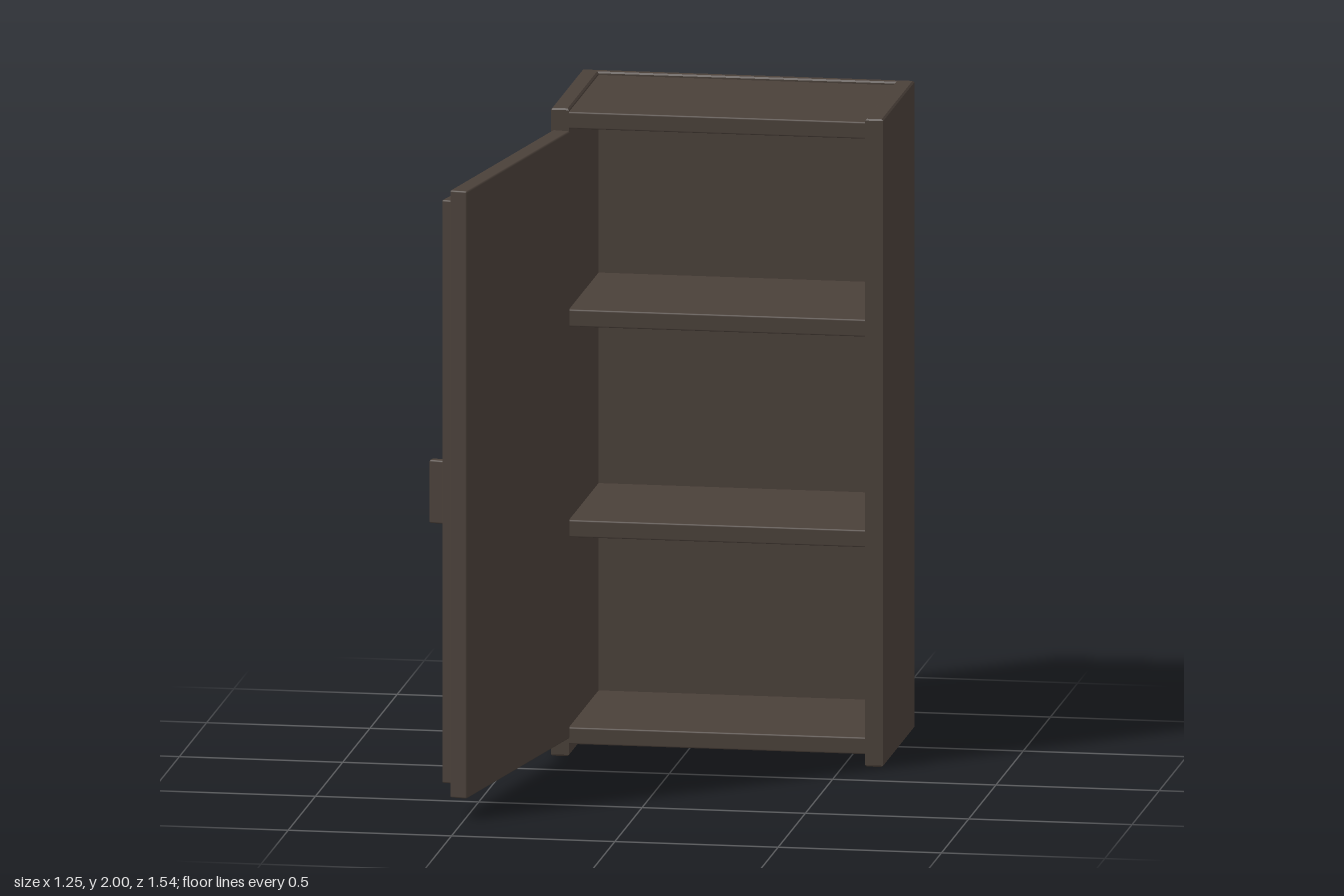
import * as THREE from 'three';
import { RoundedBoxGeometry } from 'three/addons/geometries/RoundedBoxGeometry.js';

export function createModel() {
  const model = new THREE.Group();
  model.name = 'cabinet';

  const wood = new THREE.MeshStandardMaterial({ color: 0x4a4039 });
  wood.name = 'darkWood';

  // Board with slightly eased edges
  function board(parent, name, size, position) {
    const mesh = new THREE.Mesh(new RoundedBoxGeometry(...size, 1, 0.005), wood);
    mesh.name = name;
    mesh.position.set(...position);
    parent.add(mesh);
    return mesh;
  }

  // Carcass: both sides and the back as one U-shaped extrusion
  const left = -0.395, right = 0.622, back = -0.77, front = -0.195;
  const side = 0.055, backThickness = 0.03, bevel = 0.005;
  const outline = [
    [left, front], [left, back], [right, back], [right, front],
    [right - side, front], [right - side, back + backThickness],
    [left + side, back + backThickness], [left + side, front],
  ].map(([x, z]) => new THREE.Vector2(x, -z));
  const shell = new THREE.ExtrudeGeometry(new THREE.Shape(outline), {
    depth: 2 - 2 * bevel, bevelEnabled: true, bevelThickness: bevel,
    bevelSize: bevel, bevelOffset: -bevel, bevelSegments: 1,
  });
  shell.rotateX(-Math.PI / 2);
  shell.translate(0, bevel, 0);
  const carcass = new THREE.Mesh(shell, wood);
  carcass.name = 'carcass';
  model.add(carcass);

  // Horizontal boards, slightly let into the carcass
  const innerWidth = right - left - 2 * side + 0.01;
  const innerDepth = front - back - backThickness + 0.005;
  const midX = (left + right) / 2;
  const midZ = front - innerDepth / 2;
  const levels = { floor: [0.038, 0.09], lowerShelf: [0.677, 0.73], upperShelf: [1.327, 1.38], top: [1.938, 1.99] };
  for (const [name, [y0, y1]] of Object.entries(levels)) {
    board(model, name, [innerWidth, y1 - y0, innerDepth], [midX, (y0 + y1) / 2, midZ]);
  }

  // Open door; its outer face points along local -x
  const door = new THREE.Group();
  door.name = 'door';
  door.position.set(-0.4375, 1.003, 0.3025);
  door.rotation.y = -THREE.MathUtils.degToRad(10);
  model.add(door);
  board(door, 'doorPanel', [0.055, 1.875, 0.935], [0, 0, 0]);

  // Raised frame on the outer face
  const trimX = -0.043, trimThickness = 0.039, trimWidth = 0.06;
  for (const s of [-1, 1]) {
    board(door, s < 0 ? 'hingeStile' : 'handleStile', [trimThickness, 1.8, trimWidth], [trimX, 0, s * 0.411]);
  }
  for (const [name, y] of [['bottomRail', -0.87], ['middleRail', 0], ['topRail', 0.87]]) {
    board(door, name, [trimThickness - 0.002, trimWidth, 0.77], [trimX + 0.001, y, 0]);
  }

  // Handle
  board(door, 'handle', [0.105, 0.195, 0.03], [-0.0775, -0.02, 0.35]);

  return model;
}
